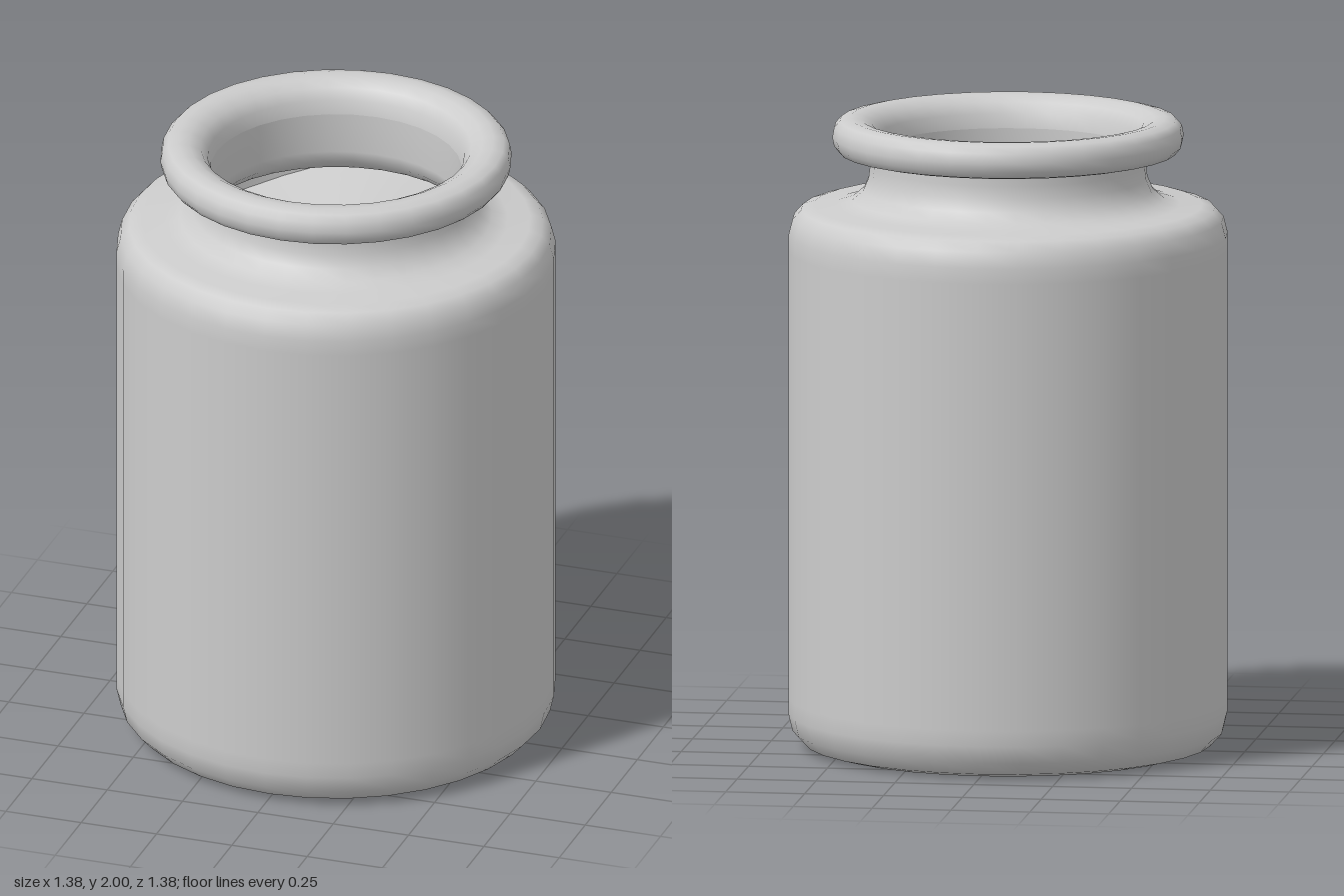
import * as THREE from 'three';

const SEGMENTS = 32;

// Turns a list of [radius, height] pairs into a lathed, smooth surface
function turned(name, profile, material) {
  const points = profile.map(([r, y]) => new THREE.Vector2(r, y));
  const mesh = new THREE.Mesh(new THREE.LatheGeometry(points, SEGMENTS), material);
  mesh.name = name;
  return mesh;
}

export function createModel() {
  const grey = new THREE.MeshStandardMaterial({ color: 0xcccccc });
  grey.name = 'light grey';
  const jar = new THREE.Group();
  jar.name = 'jar';

  // Flat base
  jar.add(turned('base', [[0, 0], [0.585, 0]], grey));

  // Outer wall: rounded foot, straight side, rounded shoulder, flared neck
  jar.add(turned('body', [
    [0.585, 0], [0.64, 0.015], [0.677, 0.055], [0.69, 0.11], [0.69, 0.16],
    [0.69, 1.58], [0.69, 1.63], [0.677, 1.68], [0.65, 1.71], [0.61, 1.722],
    [0.54, 1.725], [0.49, 1.74], [0.455, 1.77], [0.438, 1.81], [0.433, 1.85], [0.433, 1.89],
  ], grey));

  // Rolled lip with a rounded inner edge
  jar.add(turned('lip', [
    [0.433, 1.885], [0.5, 1.885], [0.53, 1.892], [0.546, 1.912], [0.552, 1.94],
    [0.546, 1.972], [0.528, 1.992], [0.495, 2], [0.46, 1.996], [0.425, 1.978],
    [0.403, 1.945], [0.395, 1.9],
  ], grey));

  // Inner wall, from the mouth down to the floor
  jar.add(turned('innerWall', [
    [0.395, 1.9], [0.395, 1.77], [0.405, 1.73], [0.44, 1.695], [0.5, 1.685],
    [0.59, 1.68], [0.63, 1.65], [0.64, 1.6], [0.64, 0.11], [0.58, 0.05], [0, 0.05],
  ], grey));

  // Gently rippled surface of the contents
  const surface = new THREE.RingGeometry(0, 0.64, SEGMENTS, 8);
  const p = surface.attributes.position;
  for (let i = 0; i < p.count; i++) {
    const x = p.getX(i), y = p.getY(i);
    const r = Math.hypot(x, y), a = Math.atan2(y, x);
    p.setZ(i, r * (0.07 * Math.cos(3 * a - Math.PI * 3.5) + 0.02 * Math.sin(2 * a)));
  }
  surface.rotateX(-Math.PI / 2);
  surface.computeVertexNormals();
  const contents = new THREE.Mesh(surface, grey);
  contents.name = 'contents';
  contents.position.y = 1.6;
  jar.add(contents);

  return jar;
}
